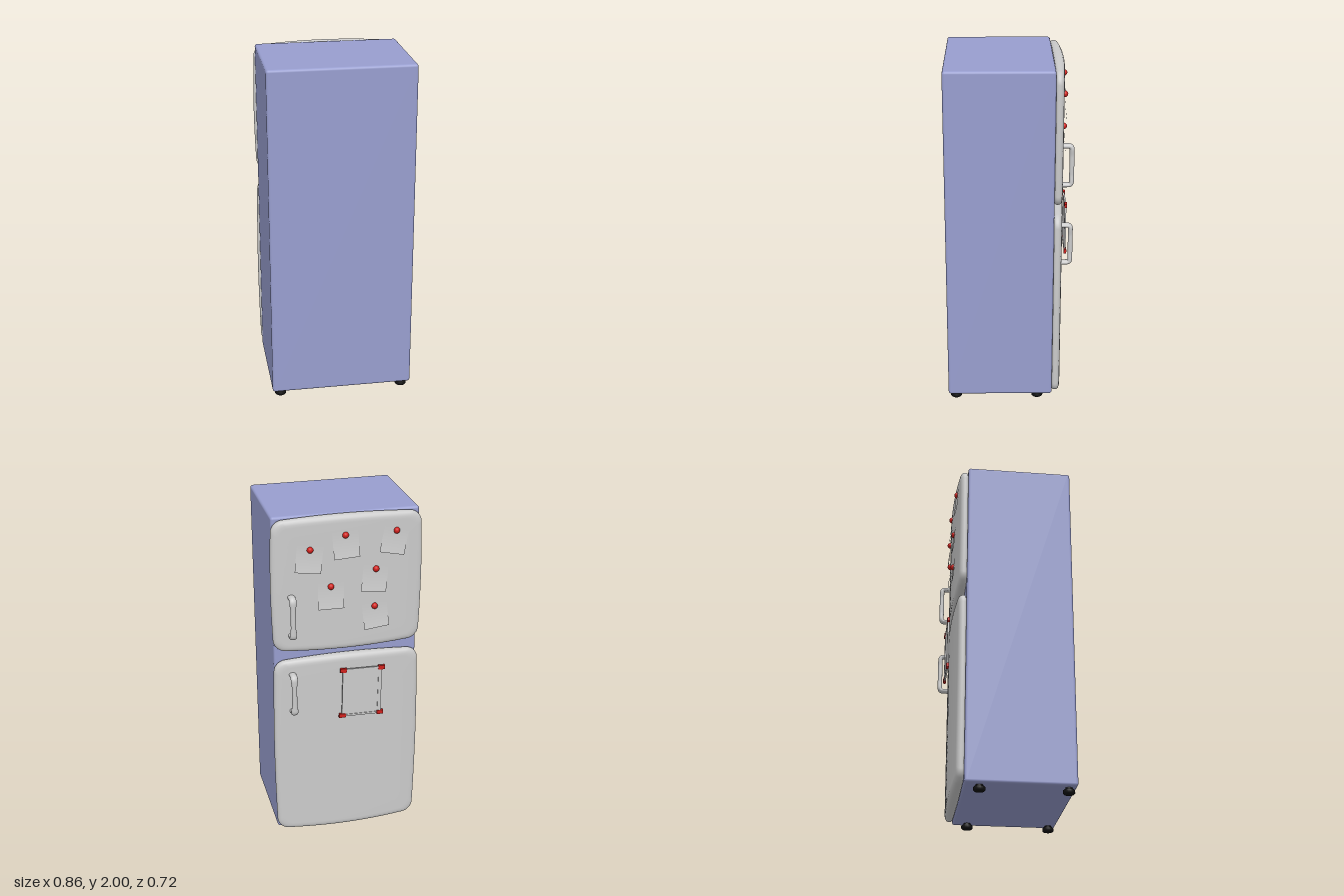
import * as THREE from 'three';
import { RoundedBoxGeometry } from 'three/addons/geometries/RoundedBoxGeometry.js';

const mat = (color, side = THREE.FrontSide) =>
  new THREE.MeshStandardMaterial({ color, side });
const grey = mat(0xcccccc);
const paper = mat(0xcccccc, THREE.DoubleSide);
const blue = mat(0x989ecf);
const red = mat(0xd0201c);
const black = mat(0x111111);

const HALF_W = 0.428;
const BACK_Z = -0.25;
// z of the gently bowed door front at a given x
const frontZ = (x) => -0.291 - 0.02 * (1 - (x / HALF_W) ** 2);

function add(parent, name, geometry, material, x = 0, y = 0, z = 0) {
  const mesh = new THREE.Mesh(geometry, material);
  mesh.name = name;
  mesh.position.set(x, y, z);
  parent.add(mesh);
  return mesh;
}

// Rounded rectangle with slightly bowed sides, counter-clockwise
function doorOutline(hw, hh) {
  const r = 0.06, pts = [];
  const corners = [[1, -1], [1, 1], [-1, 1], [-1, -1]];
  const bow = (x, y) => [x - Math.sign(x) * 0.01 * (y / hh) ** 2, y - Math.sign(y) * 0.018 * (x / hw) ** 2];
  corners.forEach(([sx, sy], c) => {
    const arc = [];
    for (let i = 0; i <= 8; i++) {
      const a = (c - 1 + i / 8) * Math.PI / 2;
      arc.push([sx * (hw - r) + r * Math.cos(a), sy * (hh - r) + r * Math.sin(a)]);
    }
    pts.push(...arc);
    // subdivide the side leading to the next corner
    const [nx, ny] = corners[(c + 1) % 4];
    const a = (c * Math.PI) / 2;
    const end = [nx * (hw - r) + r * Math.cos(a), ny * (hh - r) + r * Math.sin(a)];
    const start = arc[8];
    for (let i = 1; i < 12; i++) {
      const t = i / 12;
      pts.push([start[0] + (end[0] - start[0]) * t, start[1] + (end[1] - start[1]) * t]);
    }
  });
  return pts.map(([x, y]) => bow(x, y));
}

// Door skin: rings of the outline from the flat back, round the rim, to the bowed front
function doorGeometry(yMin, yMax) {
  const hh = (yMax - yMin) / 2, yMid = (yMin + yMax) / 2;
  const outline = doorOutline(HALF_W, hh), n = outline.length;
  // [inset, depth from back 0 to front 1]
  const rings = [[HALF_W, 0], [0.014, 0], [0.008, 0.03], [0.003, 0.12], [0, 0.28], [0, 0.5],
    [0.002, 0.68], [0.007, 0.83], [0.015, 0.93], [0.026, 0.985], [0.04, 1],
    [0.1, 1], [0.18, 1], [0.26, 1], [0.34, 1], [HALF_W, 1]];
  const pos = [], index = [];
  for (const [inset, depth] of rings) {
    const full = inset === HALF_W;
    const insetY = inset <= 0.04 ? inset : 0.04 + (inset - 0.04) * (hh - 0.04) / (HALF_W - 0.04);
    for (const [px, py] of outline) {
      const x = full ? 0 : px * (1 - inset / HALF_W);
      const y = full ? 0 : py * (1 - insetY / hh);
      pos.push(x, yMid + y, BACK_Z + (frontZ(x) - BACK_Z) * depth);
    }
  }
  for (let i = 0; i < rings.length - 1; i++) {
    for (let j = 0; j < n; j++) {
      const a = i * n + j, b = i * n + (j + 1) % n;
      index.push(a, a + n, b, b, a + n, b + n);
    }
  }
  const g = new THREE.BufferGeometry();
  g.setAttribute('position', new THREE.Float32BufferAttribute(pos, 3));
  g.setIndex(index);
  g.computeVertexNormals();
  return g;
}

// Bow handle: a tube flattened in depth, wider at its mounts than at its grip
function handleGeometry() {
  const path = new THREE.CurvePath();
  const v = (y, z) => new THREE.Vector3(0, y, z);
  path.add(new THREE.LineCurve3(v(0.114, -0.295), v(0.114, -0.328)));
  path.add(new THREE.QuadraticBezierCurve3(v(0.114, -0.328), v(0.114, -0.347), v(0.092, -0.347)));
  path.add(new THREE.LineCurve3(v(0.092, -0.347), v(-0.092, -0.347)));
  path.add(new THREE.QuadraticBezierCurve3(v(-0.092, -0.347), v(-0.114, -0.347), v(-0.114, -0.328)));
  path.add(new THREE.LineCurve3(v(-0.114, -0.328), v(-0.114, -0.295)));
  const g = new THREE.TubeGeometry(path, 64, 0.0135, 16);
  const p = g.attributes.position;
  for (let i = 0; i < p.count; i++) {
    const end = THREE.MathUtils.smoothstep(Math.abs(p.getY(i)), 0.05, 0.1);
    p.setX(i, p.getX(i) * (1.1 + 0.4 * end));
  }
  g.computeVertexNormals();
  return g;
}

// Sheet that follows the door and curls away from it at the bottom
function noteGeometry(x, y, tilt) {
  const w = 0.145, h = 0.15;
  const g = new THREE.PlaneGeometry(w, h, 6, 10);
  g.translate(0, 0.02 - h / 2, 0);
  const p = g.attributes.position;
  const c = Math.cos(tilt), s = Math.sin(tilt);
  for (let i = 0; i < p.count; i++) {
    const u = p.getX(i), v = p.getY(i), t = (0.02 - v) / h;
    const px = x + u * c - v * s, py = y + u * s + v * c;
    p.setXYZ(i, px, py, frontZ(px) - 0.002 - 0.012 * t * t);
  }
  g.computeVertexNormals();
  return g;
}

export function createModel() {
  const model = new THREE.Group();
  model.name = 'refrigerator';

  // Cabinet
  add(model, 'cabinet', new RoundedBoxGeometry(0.83, 1.96, 0.61, 4, 0.015), blue, 0, 1.018, 0.055);

  // Doors and handles
  add(model, 'upperDoor', doorGeometry(1.21, 2.0), grey);
  add(model, 'lowerDoor', doorGeometry(0.03, 1.175), grey);
  const handle = handleGeometry();
  add(model, 'upperHandle', handle, grey, 0.32, 1.44, 0);
  add(model, 'lowerHandle', handle, grey, 0.32, 0.968, 0);

  // Notes held by round magnets: x, y, tilt
  const notes = [[0.214, 1.82, 0.12], [0.019, 1.89, -0.06], [-0.27, 1.89, 0.22],
    [0.1, 1.6, 0], [-0.155, 1.68, 0.12], [-0.15, 1.46, -0.1]];
  const magnet = new THREE.SphereGeometry(0.018, 20, 14);
  for (const [x, y, tilt] of notes) {
    add(model, 'note', noteGeometry(x, y, tilt), paper);
    add(model, 'magnet', magnet, red, x, y, frontZ(x) - 0.002);
  }

  // Framed board on the lower door with a red clip at each corner
  const board = new THREE.Group();
  board.name = 'board';
  board.position.set(-0.075, 0.945, -0.335);
  board.rotation.z = 0.02;
  model.add(board);
  add(board, 'boardSheet', new THREE.BoxGeometry(0.22, 0.29, 0.003), grey);
  for (const s of [-1, 1]) {
    add(board, 'boardSideRail', new THREE.BoxGeometry(0.02, 0.29, 0.01), grey, s * 0.105, 0, 0);
    add(board, 'boardCrossRail', new THREE.BoxGeometry(0.22, 0.012, 0.01), grey, 0, s * 0.145, 0);
    for (const t of [-1, 1]) {
      add(board, 'cornerClip', new THREE.BoxGeometry(0.038, 0.024, 0.015), red, s * 0.112, t * 0.144, -0.001);
    }
  }

  // Feet
  const foot = new THREE.LatheGeometry([[0, 0], [0.028, 0], [0.033, 0.005], [0.033, 0.02], [0.028, 0.025],
    [0.02, 0.026], [0.02, 0.045]].map(([r, y]) => new THREE.Vector2(r, y)), 20);
  for (const x of [-0.365, 0.365]) {
    for (const z of [-0.165, 0.315]) add(model, 'foot', foot, black, x, 0.004, z);
  }
  return model;
}
